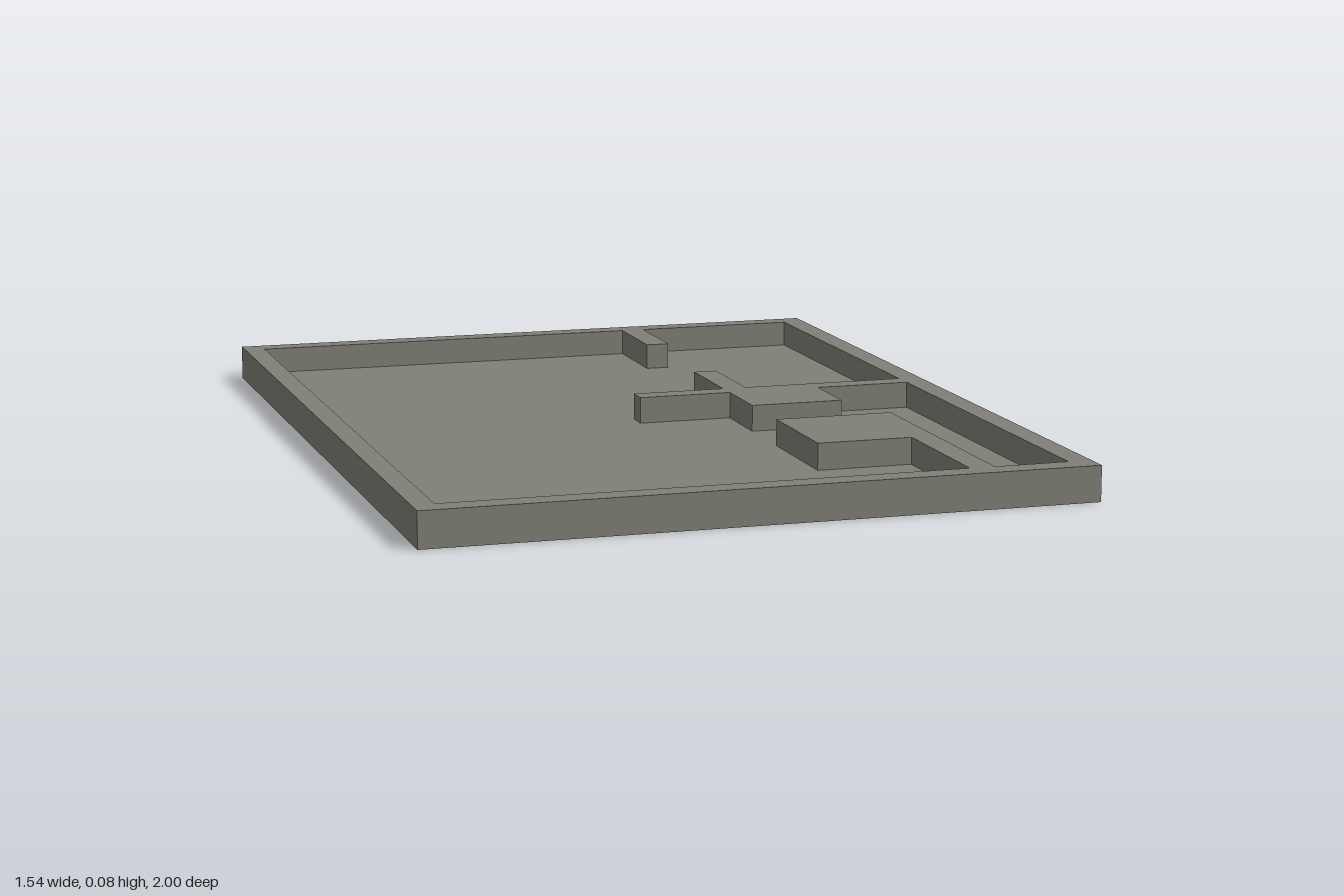
import * as THREE from 'three';

const HEIGHT = 0.083;
const FLOOR = 0.02;
const HALF_X = 0.77;
const HALF_Z = 1;

// Plan outline of the open space, as [x, z]; everything else is solid wall
const ROOM = [
  [-0.72, -0.947], [0.254, -0.947],
  [0.254, -0.72], [0.312, -0.72], [0.312, -0.947], // back partition stub
  [0.715, -0.947], [0.715, -0.085],
  [0.312, -0.085], [0.312, -0.317], [0.254, -0.317], [0.254, -0.085], // middle partition
  [0.026, -0.085], [0.026, -0.032], // free end of the cross wall
  [0.254, -0.032], [0.254, 0.138], [0.481, 0.138], [0.481, -0.032], // middle block
  [0.715, -0.032], [0.715, 0.944],
  [0.54, 0.944], [0.54, 0.312], [0.254, 0.312], [0.254, 0.598], [0.481, 0.598], [0.481, 0.944], // front block and wall
  [-0.72, 0.944],
];

const toPlan = (points) => points.map(([x, z]) => new THREE.Vector2(x, -z));

export function createModel() {
  const model = new THREE.Group();
  model.name = 'floorPlan';

  const stone = new THREE.MeshStandardMaterial({ color: 0x808077 });
  stone.name = 'warm grey';

  // Floor slab
  const floor = new THREE.Mesh(new THREE.BoxGeometry(2 * HALF_X, FLOOR, 2 * HALF_Z), stone);
  floor.name = 'floor';
  floor.position.y = FLOOR / 2;

  // Outer walls and partitions in one piece
  const plan = new THREE.Shape(toPlan([
    [-HALF_X, HALF_Z], [HALF_X, HALF_Z], [HALF_X, -HALF_Z], [-HALF_X, -HALF_Z],
  ]));
  plan.holes.push(new THREE.Path(toPlan(ROOM)));
  const wallGeometry = new THREE.ExtrudeGeometry(plan, { depth: HEIGHT - FLOOR, bevelEnabled: false });
  wallGeometry.rotateX(-Math.PI / 2);
  const walls = new THREE.Mesh(wallGeometry, stone);
  walls.name = 'walls';
  walls.position.y = FLOOR;

  model.add(floor, walls);
  return model;
}
